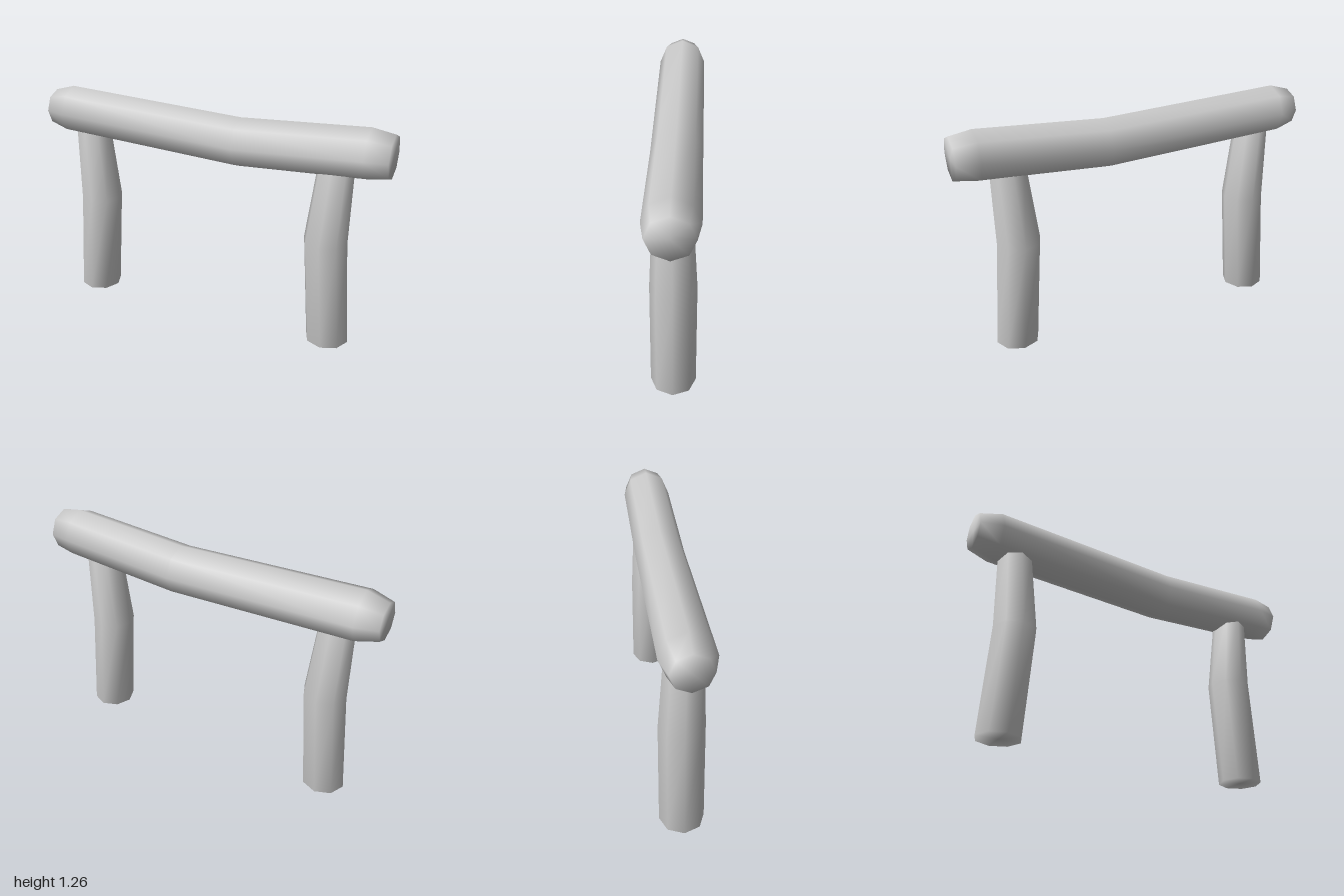
import * as THREE from 'three';

const SIDES = 8;
const material = new THREE.MeshStandardMaterial({ color: 0xcccccc });

// Closed eight-sided log through sections [x, y, radius]; rings are upright
// (facing x) for a beam, or level (facing y) for a post.
function log(name, sections, level) {
  const positions = [];
  const index = [];
  for (const [x, y, r] of sections) {
    for (let i = 0; i < SIDES; i++) {
      const a = (i / SIDES) * Math.PI * 2;
      const u = r * Math.cos(a);
      const v = r * Math.sin(a);
      if (level) positions.push(x + v, y, u);
      else positions.push(x, y + u, v);
    }
  }

  // Side walls
  for (let s = 0; s < sections.length - 1; s++) {
    for (let i = 0; i < SIDES; i++) {
      const j = (i + 1) % SIDES;
      const a = s * SIDES + i, b = s * SIDES + j;
      index.push(a, b, b + SIDES, a, b + SIDES, a + SIDES);
    }
  }

  // End caps share the rim vertices, so the ends shade softly
  const first = positions.length / 3;
  const end = sections.length - 1;
  for (const s of [0, end]) positions.push(sections[s][0], sections[s][1], 0);
  for (let i = 0; i < SIDES; i++) {
    const j = (i + 1) % SIDES;
    index.push(first, j, i);
    index.push(first + 1, end * SIDES + i, end * SIDES + j);
  }

  const geometry = new THREE.BufferGeometry();
  geometry.setAttribute('position', new THREE.Float32BufferAttribute(positions, 3));
  geometry.setIndex(index);
  geometry.computeVertexNormals();
  const mesh = new THREE.Mesh(geometry, material);
  mesh.name = name;
  return mesh;
}

export function createModel() {
  const group = new THREE.Group();
  group.name = 'logGate';

  // Sagging crossbeam with tapered ends
  group.add(log('crossbeam', [
    [-1, 1.12, 0.103],
    [-0.88, 1.12, 0.137],
    [0.18, 1.075, 0.137],
    [0.88, 1.12, 0.137],
    [1, 1.12, 0.117],
  ], false));

  // Bent posts, narrowing where they run up into the beam
  group.add(log('rightPost', [[-0.77, 0, 0.12], [-0.727, 0.6, 0.12], [-0.758, 1.05, 0.096]], true));
  group.add(log('leftPost', [[0.73, 0, 0.12], [0.685, 0.6, 0.12], [0.718, 1.05, 0.096]], true));

  return group;
}
